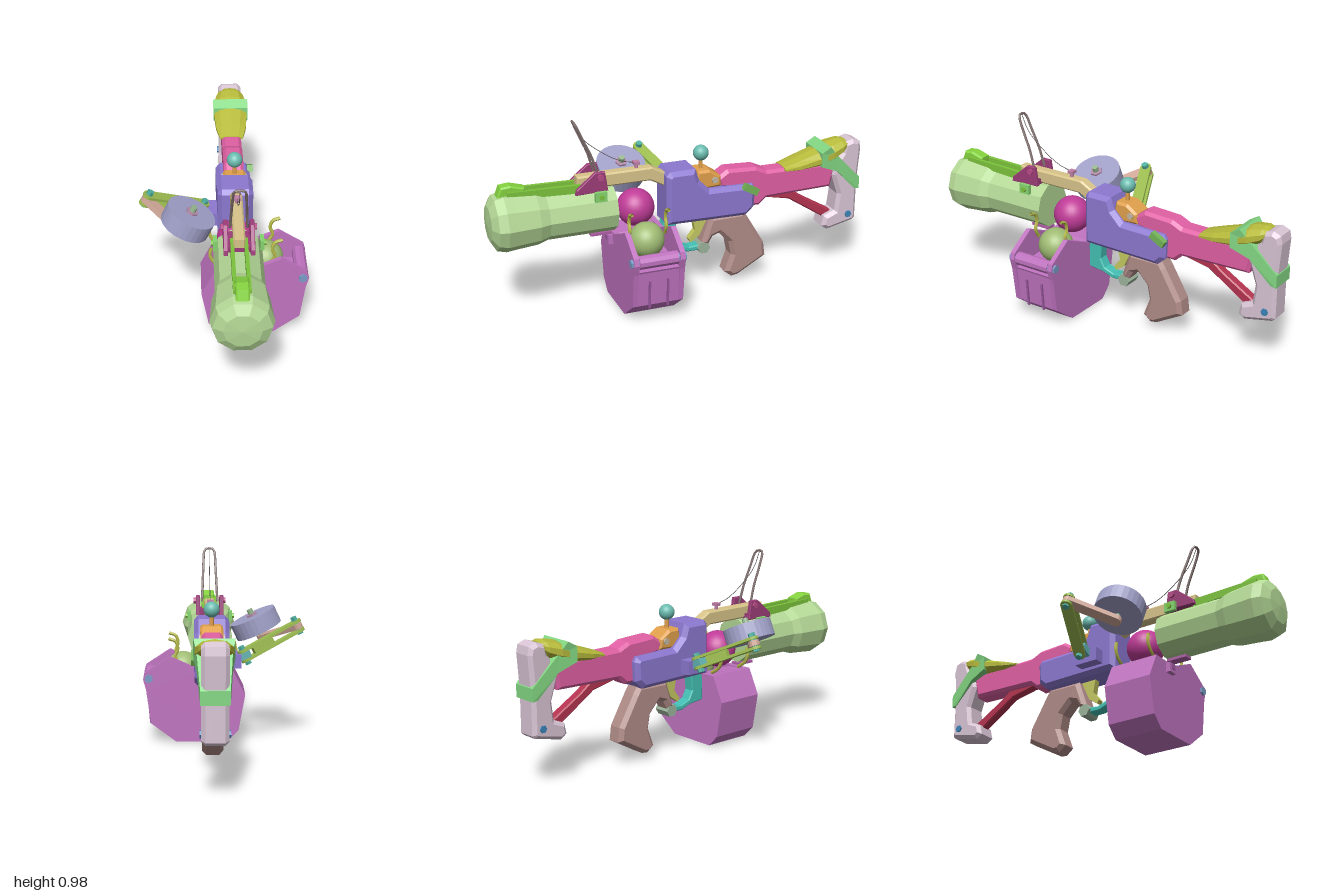
import * as THREE from 'three';

const CX = 0.055; // centre line of the launcher

export function createModel() {
  const root = new THREE.Group();
  const mat = (color, smooth) => new THREE.MeshStandardMaterial({ color, flatShading: !smooth, side: THREE.DoubleSide });
  const add = (name, geo, color, pos = [0, 0, 0], parent = root, smooth = false) => {
    const m = new THREE.Mesh(geo, mat(color, smooth));
    m.name = name;
    m.position.set(...pos);
    parent.add(m);
    return m;
  };
  const box = (name, size, pos, color, parent) => add(name, new THREE.BoxGeometry(...size), color, pos, parent);
  const ball = (name, r, pos, color) => add(name, new THREE.SphereGeometry(r, 28, 18), color, pos, root, true);
  const extrude = (pts, depth, bevel) => {
    const shape = new THREE.Shape(pts.map(p => new THREE.Vector2(...p)));
    return new THREE.ExtrudeGeometry(shape, {
      depth: depth - 2 * bevel, bevelEnabled: bevel > 0, bevelThickness: bevel,
      bevelSize: bevel, bevelOffset: -bevel, bevelSegments: 1,
    }).translate(0, 0, bevel - depth / 2);
  };
  // plate with a [z, y] outline and a width along x
  const side = (name, pts, width, color, x = CX, bevel = 0) =>
    add(name, extrude(pts, width, bevel).rotateY(-Math.PI / 2), color, [x, 0, 0]);
  // plate with an [x, y] outline and a depth along z
  const face = (name, pts, depth, z, color, bevel = 0) => add(name, extrude(pts, depth, bevel), color, [0, 0, z]);
  const tube = (name, pts, r, color, closed = false) =>
    add(name, new THREE.TubeGeometry(new THREE.CatmullRomCurve3(pts.map(p => new THREE.Vector3(...p)), closed, 'centripetal'), 32, r, 6, closed), color);
  // pin along 'x', 'y' or 'z'
  const pin = (name, r, len, pos, axis, color, sides = 12, parent = root) => {
    const g = new THREE.CylinderGeometry(r, r, len, sides);
    if (axis === 'x') g.rotateZ(Math.PI / 2);
    if (axis === 'z') g.rotateX(Math.PI / 2);
    return add(name, g, color, pos, parent);
  };
  // closed loft through [z, y, halfWidth, halfHeight] ellipses
  const loft = (name, sections, sides, color) => {
    const v = [], idx = [], n = sections.length;
    for (const [z, y, w, h] of sections)
      for (let i = 0; i < sides; i++) {
        const a = (i + 0.5) / sides * Math.PI * 2;
        v.push(CX + Math.cos(a) * w, y + Math.sin(a) * h, z);
      }
    for (let s = 0; s < n - 1; s++)
      for (let i = 0; i < sides; i++) {
        const a = s * sides + i, b = s * sides + (i + 1) % sides;
        idx.push(a, a + sides, b, b, a + sides, b + sides);
      }
    for (let i = 1; i < sides - 1; i++) {
      idx.push(0, i, i + 1);
      const e = (n - 1) * sides;
      idx.push(e, e + i + 1, e + i);
    }
    const g = new THREE.BufferGeometry();
    g.setAttribute('position', new THREE.Float32BufferAttribute(v, 3));
    g.setIndex(idx);
    g.computeVertexNormals();
    return add(name, g, color);
  };

  // ten-sided barrel with a swollen, domed muzzle
  const profile = [[0, 0.365], [0.12, 0.365], [0.12, 0.71], [0.136, 0.76], [0.145, 0.87], [0.15, 0.92], [0.138, 0.965], [0.09, 0.992], [0, 1]];
  add('barrel', new THREE.LatheGeometry(profile.map(p => new THREE.Vector2(...p)), 10, Math.PI / 10).rotateX(Math.PI / 2), 0xb4d896, [CX, 0.515, 0]);

  // rail along the top of the barrel
  for (const s of [-1, 1]) side('barrelRail', [[0.48, 0.62], [0.9, 0.64], [0.9, 0.675], [0.48, 0.665]], 0.018, 0x7cc43c, CX + s * 0.033);
  side('railHead', [[0.81, 0.64], [0.95, 0.645], [0.93, 0.70], [0.88, 0.705], [0.81, 0.685]], 0.065, 0x86d440, CX, 0.008);
  for (const s of [-1, 1]) {
    box('barrelLug', [0.02, 0.05, 0.06], [CX + s * 0.112, 0.62, 0.455], 0x86d470);
    pin('lugBolt', 0.014, 0.03, [CX + s * 0.117, 0.62, 0.455], 'x', 0x7cc43c, 6);
  }

  // top bridge between receiver and barrel
  side('topBridge', [[0.09, 0.59], [0.09, 0.665], [0.16, 0.702], [0.55, 0.702], [0.55, 0.655], [0.4, 0.632], [0.17, 0.632]], 0.058, 0xd8c48a, CX, 0.008);
  pin('wirePost', 0.01, 0.04, [CX, 0.71, 0.235], 'y', 0xc080a8, 8);
  box('wireClamp', [0.035, 0.015, 0.03], [CX, 0.728, 0.235], 0xc080a8);

  // folding sight bracket, leaf and wire
  for (const s of [-1, 1]) {
    side('sightBracket', [[0.57, 0.625], [0.565, 0.65], [0.47, 0.73], [0.42, 0.73], [0.405, 0.63]], 0.022, 0x9c3c78, CX + s * 0.064, 0.003);
    pin('sightPivot', 0.016, 0.024, [CX + s * 0.075, 0.705, 0.445], 'x', 0xb84c88, 8);
  }
  box('sightBase', [0.14, 0.03, 0.13], [CX, 0.643, 0.48], 0x9c3c78);
  tube('sightLeaf', [[-0.042, 0.7, 0.445], [-0.037, 0.8, 0.475], [-0.033, 0.89, 0.515], [-0.026, 0.968, 0.548], [-0.016, 0.977, 0.553],
    [0.016, 0.977, 0.553], [0.026, 0.968, 0.548], [0.033, 0.89, 0.515], [0.037, 0.8, 0.475], [0.042, 0.7, 0.445]].map(([x, y, z]) => [x + CX, y, z]), 0.0065, 0x80706e);
  tube('sightWire', [[CX, 0.975, 0.553], [CX, 0.89, 0.51], [CX, 0.81, 0.42], [CX, 0.75, 0.32], [CX, 0.728, 0.235]], 0.0018, 0x605858);

  // receiver
  side('receiver', [[0.1, 0.395], [0.1, 0.655], [0.08, 0.678], [-0.055, 0.678], [-0.075, 0.615], [-0.13, 0.56], [-0.37, 0.555],
    [-0.385, 0.53], [-0.38, 0.43], [-0.335, 0.387]], 0.18, 0x8c78d0, 0.053, 0.022);
  box('receiverClip', [0.15, 0.04, 0.025], [CX, 0.63, -0.03], 0x7a66c0);
  const lever = box('selectorLever', [0.03, 0.035, 0.085], [0.145, 0.535, -0.35], 0x74b458);
  lever.rotation.x = -0.5;

  // rear ball sight
  side('ballBracket', [[-0.06, 0.6], [-0.075, 0.655], [-0.14, 0.655], [-0.2, 0.615], [-0.205, 0.56], [-0.12, 0.555]], 0.115, 0xe0a04c, CX, 0.012);
  pin('bracketPin', 0.017, 0.13, [CX, 0.6, -0.165], 'x', 0xc4b8a8, 8);
  pin('ballStem', 0.011, 0.06, [CX, 0.675, -0.11], 'y', 0xe0a04c, 8);
  ball('sightBall', 0.04, [CX, 0.735, -0.11], 0x6cbcb0);

  // shoulder stock, strut, cheek rest, butt and strap
  side('stock', [[-0.18, 0.6], [-0.24, 0.64], [-0.4, 0.632], [-0.46, 0.605], [-0.86, 0.6], [-0.83, 0.465], [-0.46, 0.455],
    [-0.42, 0.42], [-0.36, 0.42], [-0.34, 0.53], [-0.2, 0.55]], 0.105, 0xe060a4, CX, 0.016);
  side('stockStrut', [[-0.42, 0.46], [-0.62, 0.465], [-0.68, 0.42], [-0.85, 0.32], [-0.84, 0.285], [-0.8, 0.29], [-0.6, 0.42]], 0.05, 0xb43450, CX, 0.006);
  loft('cheekRest', [[-0.56, 0.595, 0.065, 0.012], [-0.64, 0.607, 0.085, 0.03], [-0.75, 0.63, 0.095, 0.045], [-0.83, 0.655, 0.093, 0.052],
    [-0.89, 0.675, 0.075, 0.042], [-0.92, 0.69, 0.055, 0.02]], 10, 0xb8bc3c);
  side('buttPad', [[-0.9, 0.7], [-0.95, 0.716], [-0.99, 0.7], [-0.998, 0.66], [-0.985, 0.48], [-0.985, 0.27], [-0.97, 0.255], [-0.82, 0.222],
    [-0.787, 0.245], [-0.8, 0.3], [-0.86, 0.325], [-0.872, 0.42], [-0.835, 0.53], [-0.845, 0.59], [-0.89, 0.65]], 0.125, 0xd8c4d4, CX, 0.018);
  pin('buttBolt', 0.019, 0.14, [CX, 0.3, -0.935], 'x', 0x3c84b8, 6);
  const strap = side('strap', [[-0.75, 0.6], [-0.75, 0.675], [-0.8, 0.705], [-0.85, 0.645], [-0.99, 0.505], [-0.99, 0.44], [-0.96, 0.445], [-0.85, 0.56]], 0.19, 0x84d884);
  const sp = strap.geometry.attributes.position;
  for (let i = 0; i < sp.count; i++) sp.setX(i, sp.getX(i) * (1 - 0.3 * THREE.MathUtils.smoothstep(-sp.getZ(i), 0.8, 0.9)));

  // pistol grip, trigger and guard
  side('grip', [[-0.1, 0.245], [-0.15, 0.392], [-0.335, 0.395], [-0.36, 0.36], [-0.455, 0.2], [-0.465, 0.125], [-0.31, 0.038], [-0.275, 0.033],
    [-0.235, 0.065], [-0.27, 0.16], [-0.255, 0.235], [-0.2, 0.292], [-0.165, 0.28], [-0.14, 0.235]], 0.105, 0xb08c88, CX, 0.02);
  side('trigger', [[-0.06, 0.4], [-0.15, 0.4], [-0.1, 0.29], [-0.05, 0.255], [-0.04, 0.275], [-0.075, 0.32]], 0.035, 0xc4c860);
  side('triggerGuard', [[0.11, 0.24], [0.11, 0.36], [0.1, 0.4], [0.03, 0.4], [0.04, 0.3], [0.015, 0.255], [-0.04, 0.235], [-0.1, 0.24],
    [-0.1, 0.21], [-0.03, 0.21], [0.025, 0.23]], 0.06, 0x44c0b4, CX, 0.005);
  pin('guardBolt', 0.034, 0.09, [CX, 0.225, -0.115], 'x', 0x9cb49c, 6);

  // ammunition box: trough between two end plates
  const violet = 0xc074c0;
  const lower = [[0.385, 0.28], [0.37, 0.1], [0.24, 0.002], [-0.03, 0], [-0.09, 0.06], [-0.125, 0.25], [-0.06, 0.382]];
  face('magazineBody', [[0.07, 0.372], [0.11, 0.31], [0.39, 0.29], ...lower], 0.25, 0.24, violet);
  for (const z of [0.12, 0.358])
    face('magazinePlate', [[0.1, 0.38], [0.27, 0.455], [0.4, 0.37], [0.41, 0.335], [0.395, 0.28], ...lower.slice(1)], 0.026, z, violet);
  pin('magazineHinge', 0.034, 0.2, [0.375, 0.337, 0.24], 'z', violet, 10);
  pin('hingeBolt', 0.023, 0.285, [0.38, 0.34, 0.24], 'z', 0x7c9cc8, 6);
  for (const z of [0.19, 0.285]) {
    const rib = box('magazineRib', [0.01, 0.15, 0.01], [0.379, 0.16, z], 0x9c58a0);
    rib.rotation.z = -0.083;
  }
  box('magazineCatch', [0.055, 0.05, 0.03], [CX, 0.345, 0.38], violet);
  box('catchWindow', [0.03, 0.025, 0.006], [CX, 0.35, 0.396], 0xa45ca8);
  box('catchBar', [0.05, 0.014, 0.11], [CX, 0.383, 0.43], 0xb060a8);

  // round shells and feed guides
  ball('chamberedShell', 0.096, [0.05, 0.49, 0.24], 0xc03c98);
  ball('nextShell', 0.09, [0.2, 0.372, 0.235], 0xa0bc74);
  for (const z of [0.145, 0.335]) {
    tube('feedGuide', [[0.275, 0.545, z], [0.24, 0.53, z], [0.227, 0.49, z], [0.24, 0.45, z], [0.215, 0.4, z]], 0.009, 0xb8bc4c);
    tube('feedGuide', [[-0.075, 0.5, z], [-0.08, 0.46, z], [-0.06, 0.42, z], [-0.01, 0.385, z]], 0.009, 0xb8bc4c);
  }

  // tilted wind-up drum on a folding arm
  const arm = new THREE.Group();
  arm.name = 'drumArm';
  arm.position.set(-0.185, 0.612, 0.24);
  arm.rotation.z = -0.44;
  root.add(arm);
  pin('drum', 0.127, 0.088, [0, 0, 0], 'y', 0xa0a0c8, 28, arm);
  pin('drumCap', 0.032, 0.012, [0, 0.048, 0], 'y', 0xb48cac, 6, arm);
  pin('drumSpindle', 0.016, 0.16, [0, 0, 0], 'y', 0x98b890, 10, arm);
  const link = (name, a, b, y, t, w, color) => {
    const len = Math.hypot(b[0] - a[0], b[1] - a[1]);
    const m = box(name, [len, t, w], [(a[0] + b[0]) / 2, y, (a[1] + b[1]) / 2], color, arm);
    m.rotation.y = -Math.atan2(b[1] - a[1], b[0] - a[0]);
    for (const [x, z] of [a, b]) pin(name + 'End', w / 2, t, [x, y, z], 'y', color, 14, arm);
  };
  const elbow = [-0.19, -0.17], pivot = [0.115, -0.285];
  link('drumLink', elbow, [0, 0], -0.08, 0.028, 0.055, 0xd0a898);
  for (const y of [-0.105, -0.055]) link('swingLink', elbow, pivot, y, 0.014, 0.06, 0x9cbc50);
  box('swingSpacer', [0.12, 0.04, 0.03], [0.01, -0.08, -0.245], 0x9cbc50, arm).rotation.y = 0.36;
  pin('elbowBolt', 0.018, 0.095, [elbow[0], -0.075, elbow[1]], 'y', 0x50b0a0, 6, arm);
  pin('pivotBolt', 0.018, 0.1, [pivot[0], -0.08, pivot[1]], 'y', 0x50b0a0, 6, arm);
  box('pivotBlock', [0.07, 0.04, 0.06], [0.12, -0.08, -0.275], 0x64b4b4, arm);
  box('armMount', [0.08, 0.07, 0.13], [-0.055, 0.465, 0.025 - 0.055], 0x8c78d0);

  return root;
}
